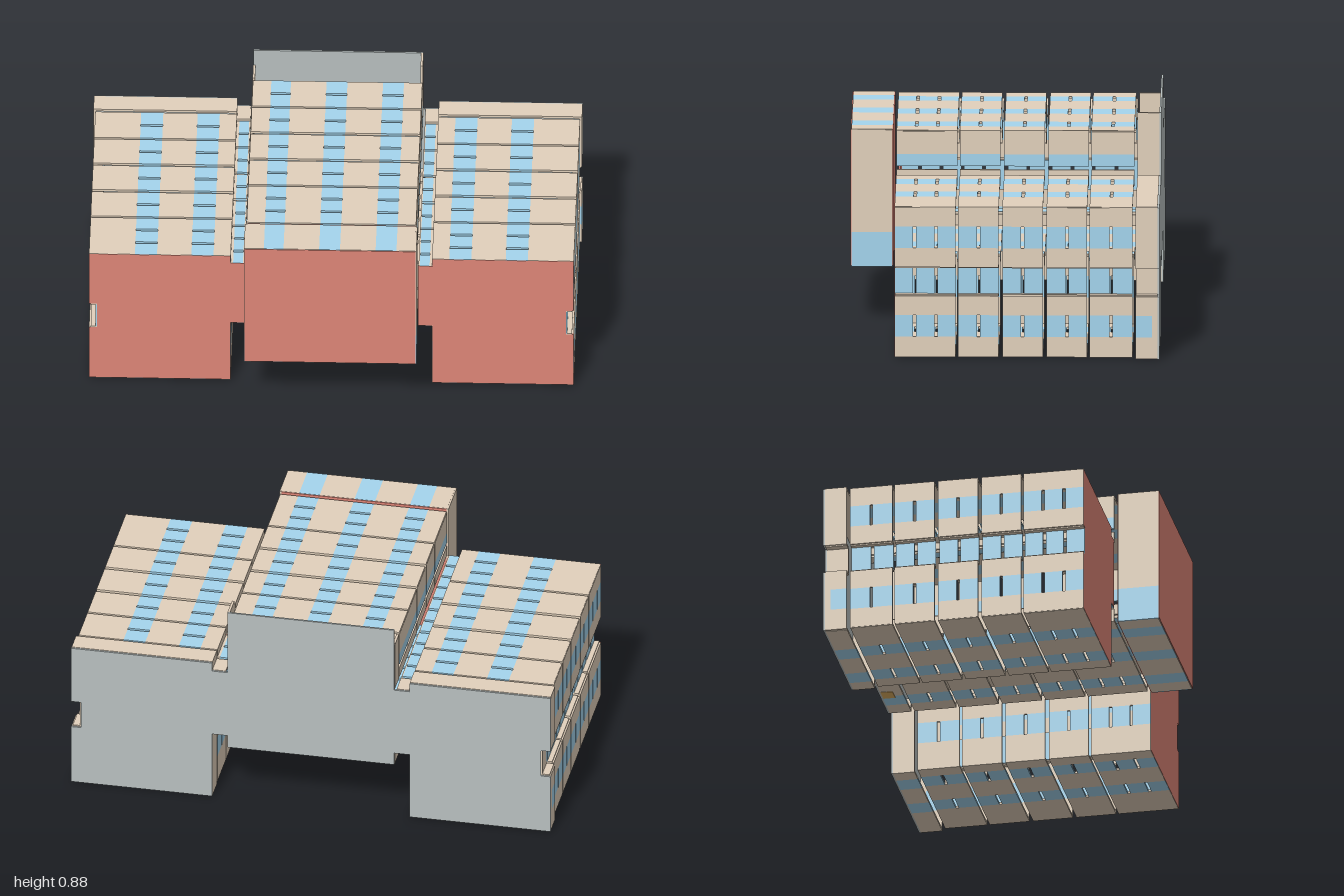
import * as THREE from 'three';

const mat = (color) => new THREE.MeshStandardMaterial({ color });
const T = 0.01; // panel thickness

export function createModel() {
  const model = new THREE.Group();
  const wall = mat(0xe2d1bc), glass = mat(0xa4d5ee), red = mat(0xdf8678), grey = mat(0xb8c0c0), orange = mat(0xe0b060);

  const box = (parent, name, m, x0, x1, y0, y1, z0, z1) => {
    const g = new THREE.BoxGeometry(Math.abs(x1 - x0), Math.abs(y1 - y0), Math.abs(z1 - z0));
    const mesh = new THREE.Mesh(g, m);
    mesh.position.set((x0 + x1) / 2, (y0 + y1) / 2, (z0 + z1) / 2);
    mesh.name = name;
    parent.add(mesh);
  };

  // Runs one cross-section segment [x0, y0, x1, y1, isWindow] along z;
  // windows are split into panes with open slits between them.
  const run = (parent, [x0, y0, x1, y1, win], zFront, zBack, panes, s) => {
    const flat = y0 === y1;
    const dx = flat ? 0 : T / 2, dy = flat ? T / 2 : 0;
    const n = win ? panes : 1, gap = 0.012;
    const len = (zFront - zBack - gap * (n - 1)) / n;
    for (let i = 0; i < n; i++) {
      const z = zFront - i * (len + gap);
      box(parent, win ? 'windowPane' : 'wallPanel', win ? glass : wall,
        s * (x0 - dx), s * (x1 + dx), y0 - dy, y1 + dy, z - len, z);
    }
  };

  // Horizontal slab from alternating wall / window edges
  const slab = (y, edges) => edges.slice(1).map((x, i) => [edges[i], y, x, y, i % 2 === 1]);
  // Upright wall from alternating wall / window heights
  const upright = (x, heights) => heights.slice(1).map((y, i) => [x, heights[i], x, y, i % 2 === 1]);

  const wingColumns = [0.41, 0.48, 0.57, 0.71, 0.8, 0.985];
  const hallColumns = [-0.345, -0.27, -0.19, -0.045, 0.04, 0.185, 0.27, 0.345];

  const wing = [
    ...slab(0.015, wingColumns),
    ...slab(0.632, wingColumns),
    ...upright(0.982, [0.012, 0.095, 0.185, 0.265]),
    ...upright(0.982, [0.385, 0.465, 0.555, 0.635]),
    [0.955, 0.265, 0.98, 0.265, false],
    [0.955, 0.385, 0.98, 0.385, false],
    [0.955, 0.265, 0.955, 0.385, true],
    ...upright(0.415, [0.015, 0.13, 0.22, 0.3]),
    [0.415, 0.6, 0.415, 0.635, false],
  ];
  const link = [...slab(0.303, [0.355, 0.36, 0.4, 0.41]), ...slab(0.597, [0.355, 0.36, 0.4, 0.41])];
  const hallSide = [
    [0.342, 0.248, 0.342, 0.3, false],
    [0.342, 0.6, 0.342, 0.645, false],
    [0.342, 0.66, 0.342, 0.71, true],
    [0.342, 0.71, 0.342, 0.805, false],
  ];
  const hallFloor = slab(0.25, hallColumns);
  const hall = [...hallFloor, ...slab(0.804, hallColumns)];

  // Five bays, separated by open slits
  const bays = [[0.448, 0.2], [0.19, 0.025], [0.01, -0.155], [-0.17, -0.335], [-0.345, -0.52]];
  bays.forEach(([a, b], i) => {
    const bay = new THREE.Group();
    bay.name = 'bay' + (i + 1);
    const panes = i === 0 ? 3 : 2;
    for (const s of [-1, 1]) {
      [...wing, ...link].forEach((p) => run(bay, p, a, b, panes, s));
      hallSide.forEach((p) => run(bay, p, a, b, 1, s));
    }
    hall.forEach((p) => run(bay, p, a, b, panes, 1));
    model.add(bay);
  });

  // Projecting front of the middle hall
  const porch = new THREE.Group();
  porch.name = 'frontProjection';
  [...slab(0.245, hallColumns), ...slab(0.808, hallColumns)].forEach((p) => run(porch, p, 0.632, 0.465, 1, 1));
  for (const s of [-1, 1]) {
    run(porch, [0.346, 0.24, 0.346, 0.385, true], 0.632, 0.465, 1, s);
    run(porch, [0.346, 0.385, 0.346, 0.812, false], 0.632, 0.465, 1, s);
  }
  box(porch, 'frontPanel', red, -0.348, 0.348, 0.243, 0.811, 0.628, 0.635);
  box(porch, 'innerPanel', red, -0.342, 0.342, 0.242, 0.812, 0.461, 0.465);
  model.add(porch);

  // Rear bay: plain wing roofs, open-topped hall between side fins
  const rear = new THREE.Group();
  rear.name = 'rearBay';
  const zf = -0.533, zb = -0.622;
  for (const s of [-1, 1]) {
    const parts = [
      ...slab(0.008, wingColumns),
      [0.41, 0.635, 0.995, 0.635, false],
      [0.99, 0.005, 0.99, 0.095, false],
      [0.99, 0.185, 0.99, 0.265, false],
      [0.99, 0.385, 0.99, 0.635, false],
      [0.955, 0.265, 0.99, 0.265, false],
      [0.955, 0.385, 0.99, 0.385, false],
      [0.955, 0.265, 0.955, 0.385, false],
      [0.415, 0.01, 0.415, 0.3, false],
      [0.415, 0.6, 0.415, 0.635, false],
      [0.355, 0.303, 0.41, 0.303, false],
      [0.355, 0.597, 0.41, 0.597, false],
      [0.342, 0.6, 0.342, s > 0 ? 0.885 : 0.81, false],
      [0.342, 0.245, 0.342, 0.3, false],
    ];
    parts.forEach((p) => run(rear, p, zf, zb, 1, s));
    run(rear, [0.99, 0.095, 0.99, 0.185, true], zf, -0.6, 1, s);
    run(rear, [0.99, 0.095, 0.99, 0.185, false], -0.6, zb, 1, s);
  }
  hallFloor.forEach((p) => run(rear, p, zf, zb, 1, 1));
  box(rear, 'floorHatch', orange, 0.14, 0.2, 0.243, 0.257, -0.62, -0.57);
  model.add(rear);

  // End walls cut to the stepped outline
  const plate = (name, m, pts, z, s = 1) => {
    const shape = new THREE.Shape(pts.map(([x, y]) => new THREE.Vector2(s * x, y)));
    const mesh = new THREE.Mesh(new THREE.ExtrudeGeometry(shape, { depth: 0.008, bevelEnabled: false }), m);
    mesh.position.z = z;
    mesh.name = name;
    model.add(mesh);
  };
  const outer = (x) => [[x, 0.265], [0.955, 0.265], [0.955, 0.385], [x, 0.385]];
  const wingFront = [[0.353, 0.3], [0.411, 0.3], [0.411, 0.012], [0.986, 0.012], ...outer(0.986),
    [0.986, 0.636], [0.411, 0.636], [0.411, 0.601], [0.353, 0.601]];
  for (const s of [-1, 1]) plate('wingFront', red, wingFront, 0.441, s);

  const half = [[0.346, 0.245], [0.346, 0.3], [0.41, 0.3], [0.41, 0.004], [0.996, 0.004], ...outer(0.996),
    [0.996, 0.638], [0.41, 0.638], [0.41, 0.6], [0.346, 0.6], [0.346, 0.885]];
  plate('backWall', grey, [...half, ...half.map(([x, y]) => [-x, y]).reverse()], -0.63);

  return model;
}
